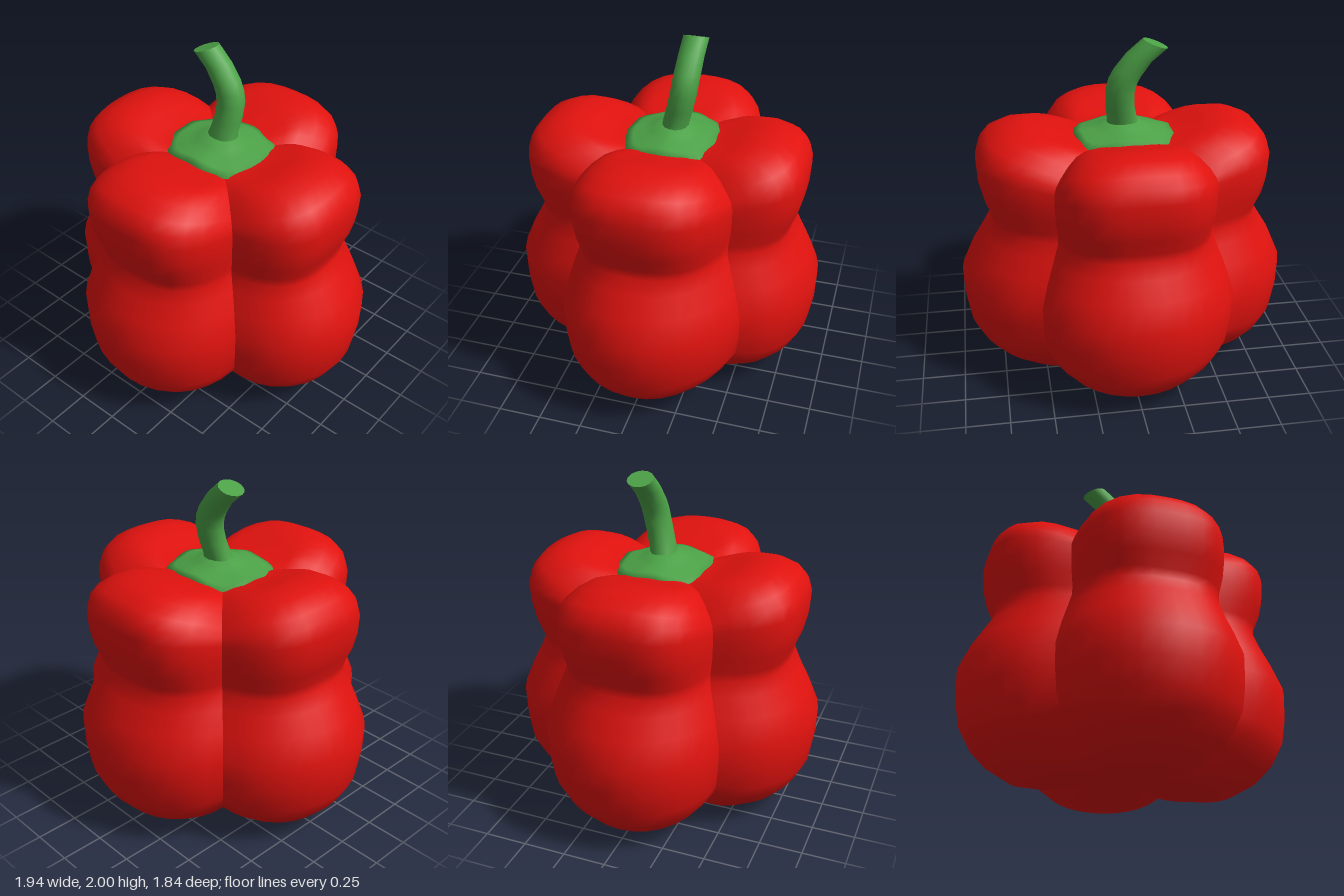
import * as THREE from 'three';
import { mergeVertices } from 'three/addons/utils/BufferGeometryUtils.js';

const red = new THREE.MeshStandardMaterial({ color: 0xe0120e });
const green = new THREE.MeshStandardMaterial({ color: 0x4ca247 });
const TURN = Math.PI * 2;

// Skin over rings, bottom to top; point(ring, angle) gives [x, y, z]
function skin(rings, a0, a1, n, point) {
  const pos = [], index = [];
  rings.forEach((ring, i) => {
    for (let j = 0; j <= n; j++) {
      pos.push(...point(ring, a0 + (a1 - a0) * j / n));
      if (i && j) {
        const d = i * (n + 1) + j, c = d - 1, b = d - n - 1, a = b - 1;
        index.push(a, b, d, a, d, c);
      }
    }
  });
  let g = new THREE.BufferGeometry();
  g.setAttribute('position', new THREE.Float32BufferAttribute(pos, 3));
  g.setIndex(index);
  g = mergeVertices(g, 1e-5);
  g.computeVertexNormals();
  return g;
}

// Lobe rings: [reach, height, depth of the crease (0 = round), drop of the crease]
const lobeRings = [
  [0, 0.055, 0, 0], [0.2, 0.045, 0.2, -0.01], [0.36, 0.022, 0.33, -0.03], [0.5, 0.002, 0.4, -0.055],
  [0.65, 0.015, 0.43, -0.085], [0.79, 0.095, 0.44, -0.1], [0.88, 0.19, 0.44, -0.07],
  [0.94, 0.3, 0.44, -0.04], [0.966, 0.45, 0.44, -0.02], [0.972, 0.61, 0.44, 0],
  [0.91, 0.75, 0.445, 0], [0.835, 0.87, 0.445, 0], [0.785, 0.955, 0.445, 0], [0.785, 1.01, 0.445, 0],
  [0.82, 1.1, 0.46, 0], [0.845, 1.2, 0.475, 0.01], [0.852, 1.32, 0.48, 0.06],
  [0.83, 1.4, 0.48, 0.1], [0.78, 1.46, 0.48, 0.125], [0.68, 1.505, 0.47, 0.125],
  [0.56, 1.515, 0.45, 0.1], [0.44, 1.485, 0.4, 0.065], [0.34, 1.453, 0.32, 0.04],
  [0.24, 1.435, 0.18, 0.015], [0, 1.43, 0, 0],
];
// Shift of each crease [x, z]: front left, back left, back right, front right
const creaseShift = [[-0.01, -0.025], [0, -0.06], [-0.03, -0.04], [-0.01, 0]];

// Body plan: each quarter is an arc set off from the middle axis, with fuller shoulders higher up
function lobePoint([s, y, k, drop], a) {
  const quarter = TURN / 4, local = a - Math.round(a / quarter) * quarter;
  const u = Math.abs(local) / (quarter / 2), lean = s * u * u;
  const upper = THREE.MathUtils.smoothstep(y, 0.75, 1.1);
  const c = k * s, R = s - c;
  const arc = c * Math.cos(local) + Math.sqrt(R * R - (c * Math.sin(local)) ** 2);
  const r = arc * (1 + 0.05 * upper * Math.sin(Math.PI * u) ** 2);
  const [dx, dz] = creaseShift[(Math.floor(a / quarter) + 4) % 4];
  return [r * Math.sin(a) + dx * lean, y - drop * u ** 2.2, r * Math.cos(a) * (0.945 + 0.018 * upper) + dz * lean];
}

// Rounded square cap that sags into the creases
function calyxPoint([f, y], a) {
  const s = Math.sin(a), c = Math.cos(a);
  const p = 2 + 1.3 * f;
  const square = (Math.abs(s) ** p + Math.abs(c) ** p) ** (-1 / p);
  const r = f * (0.282 + 0.005 * f * Math.sin(9 * a)) * square;
  return [r * s, y - 0.03 * f * f * Math.sin(2 * a) ** 2, r * c * 0.91 - 0.024];
}

// Stem rings: [x, y, z, radius, sideways tilt]
const stemRings = [
  [0, 1.46, -0.03, 0.11, 0], [0.006, 1.52, -0.04, 0.087, 0], [0.022, 1.61, -0.065, 0.083, 0.03],
  [0.024, 1.7, -0.085, 0.083, 0.1], [0.01, 1.76, -0.092, 0.082, 0.18], [-0.016, 1.81, -0.097, 0.08, 0.27],
  [-0.08, 1.895, -0.102, 0.075, 0.35], [-0.17, 1.972, -0.106, 0.075, 0.37],
];
function stemPoint([x, y, z, r, tilt], a) {
  const side = r * Math.sin(a);
  return [x + side * Math.cos(tilt), y + side * Math.sin(tilt), z + Math.min(r, 0.077) * Math.cos(a)];
}

export function createModel() {
  const model = new THREE.Group();
  model.name = 'bellPepper';
  const add = (name, geometry, material) => {
    const mesh = new THREE.Mesh(geometry, material);
    mesh.name = name;
    model.add(mesh);
  };

  // Four lobes with sharp creases between them, each made of two halves' worth of arc
  ['frontLobe', 'leftLobe', 'backLobe', 'rightLobe'].forEach((name, i) => {
    const middle = i * TURN / 4;
    add(name, skin(lobeRings, middle - TURN / 8, middle + TURN / 8, 14, lobePoint), red);
  });

  // Calyx
  const calyxRings = [[0.98, 1.38], [1, 1.45], [0.85, 1.461], [0.65, 1.472], [0.45, 1.487], [0.34, 1.508], [0, 1.52]];
  add('calyx', skin(calyxRings, 0, TURN, 40, calyxPoint), green);

  // Bent stem with a slanted cut
  add('stem', skin(stemRings, 0, TURN, 14, stemPoint), green);
  const tip = stemRings[stemRings.length - 1];
  const tipCentre = [tip[0], tip[1], tip[2], 0, 0];
  add('stemEnd', skin([tip, tipCentre], 0, TURN, 14, stemPoint), green);

  return model;
}
